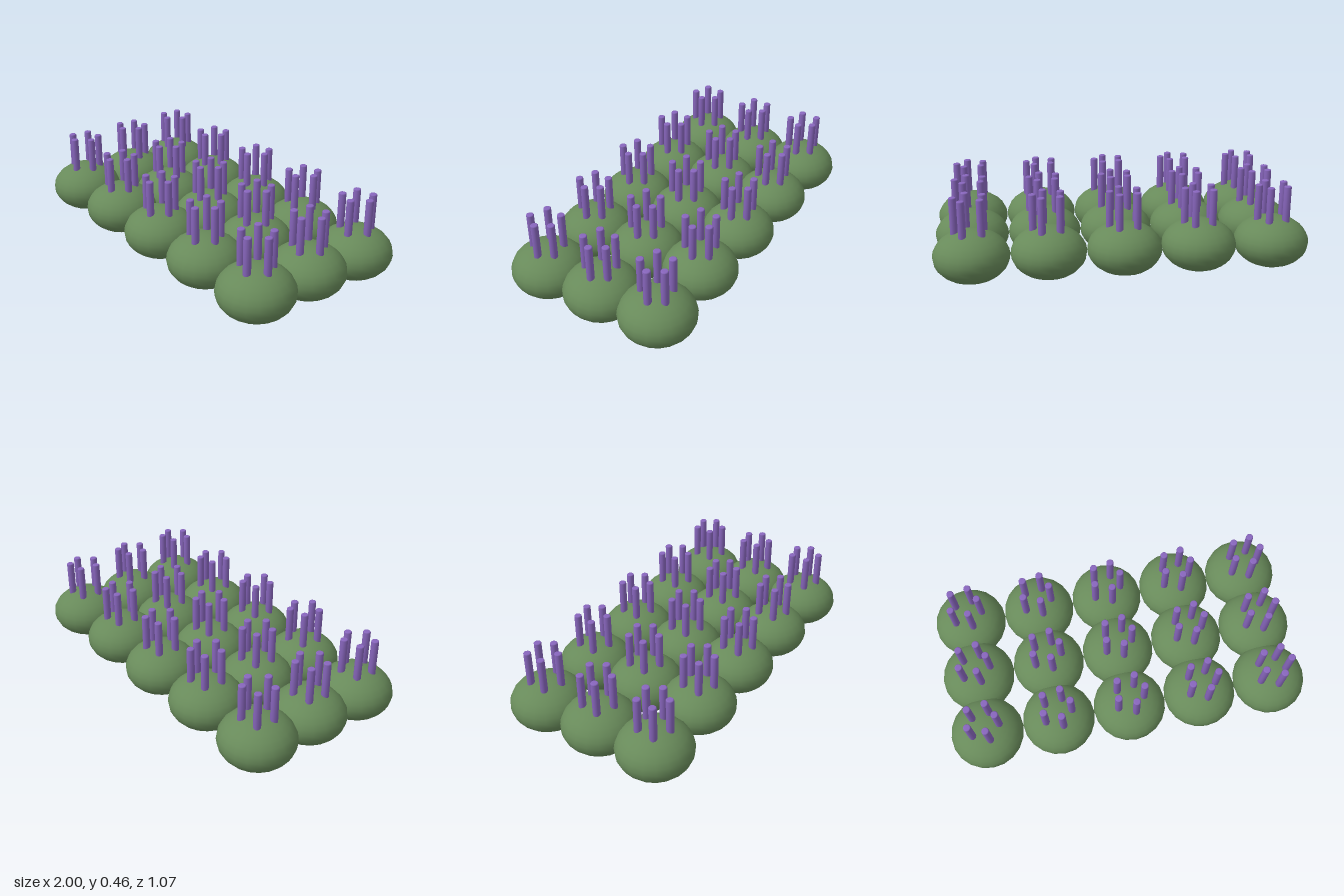
import * as THREE from 'three';

export function createModel() {
  const model = new THREE.Group();
  const green = new THREE.MeshStandardMaterial({ color: 0x688a5a });
  green.name = 'leaf green';
  const purple = new THREE.MeshStandardMaterial({ color: 0x8866bd });
  purple.name = 'lavender purple';

  // Squashed round bush
  const bushGeometry = new THREE.SphereGeometry(0.2, 20, 14).scale(1, 0.7, 1);

  // Slim stalk with softly rounded top edge
  const r = 0.02, h = 0.2, bevel = 0.006;
  const profile = [new THREE.Vector2(0, 0), new THREE.Vector2(r, 0), new THREE.Vector2(r, h - bevel)];
  for (let i = 1; i <= 3; i++) {
    const a = (i / 3) * Math.PI / 2;
    profile.push(new THREE.Vector2(r - bevel + bevel * Math.cos(a), h - bevel + bevel * Math.sin(a)));
  }
  profile.push(new THREE.Vector2(0, h));
  const stalkGeometry = new THREE.LatheGeometry(profile, 12);

  function createPlant() {
    const plant = new THREE.Group();
    plant.name = 'plant';
    const bush = new THREE.Mesh(bushGeometry, green);
    bush.name = 'bush';
    bush.position.y = 0.141;
    plant.add(bush);
    // Five stalks stepping around a ring
    for (let i = 0; i < 5; i++) {
      const stalk = new THREE.Mesh(stalkGeometry, purple);
      stalk.name = 'flowerStalk';
      stalk.position.set(0.08 * Math.cos(i * 1.3), 0.258, 0.08 * Math.sin(i * 1.3));
      plant.add(stalk);
    }
    return plant;
  }

  // Five columns by three rows
  for (let col = -2; col <= 2; col++) {
    for (let row = -1; row <= 1; row++) {
      const plant = createPlant();
      plant.position.set(col * 0.4, 0, row * 0.333);
      model.add(plant);
    }
  }
  return model;
}
